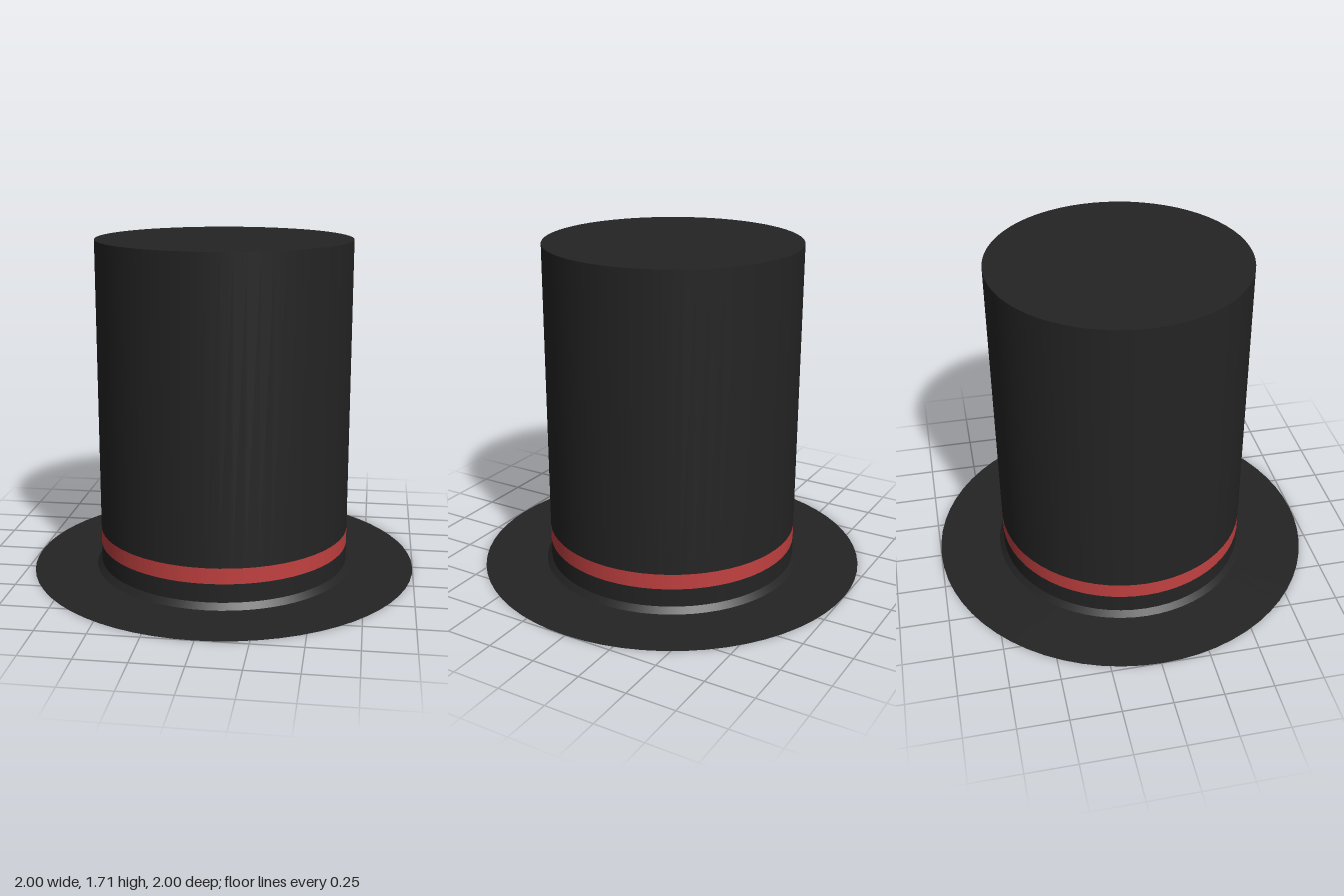
import * as THREE from 'three';

const SEGMENTS = 64;
const HEIGHT = 1.71;
const CROWN_RADIUS = 0.65;
const FLARE_RADIUS = 0.675;
const LEAN = -0.006; // slight backward lean of the crown top

export function createModel() {
  const hat = new THREE.Group();
  hat.name = 'topHat';

  const felt = new THREE.MeshStandardMaterial({ color: 0x242424, side: THREE.DoubleSide });
  felt.name = 'black felt';
  const ribbon = new THREE.MeshStandardMaterial({ color: 0xc24040, side: THREE.DoubleSide });
  ribbon.name = 'red ribbon';

  function add(name, geometry, material) {
    const mesh = new THREE.Mesh(geometry, material);
    mesh.name = name;
    hat.add(mesh);
  }

  // Open wall section between two heights, sheared to follow the lean
  function wall(name, y0, y1, r0, r1, material) {
    const geometry = new THREE.CylinderGeometry(r1, r0, y1 - y0, SEGMENTS, 1, true);
    geometry.translate(0, (y0 + y1) / 2, 0);
    const p = geometry.attributes.position;
    for (let i = 0; i < p.count; i++) p.setZ(i, p.getZ(i) + LEAN * p.getY(i) / HEIGHT);
    add(name, geometry, material);
  }

  // Thin flat brim, open in the middle
  add('brim', new THREE.RingGeometry(FLARE_RADIUS, 1, SEGMENTS).rotateX(-Math.PI / 2), felt);

  // Crown wall with its flared foot and ribbon
  wall('crownFlare', 0, 0.03, FLARE_RADIUS, CROWN_RADIUS, felt);
  wall('lowerCrown', 0.03, 0.125, CROWN_RADIUS, CROWN_RADIUS, felt);
  wall('hatBand', 0.125, 0.205, CROWN_RADIUS, CROWN_RADIUS, ribbon);
  wall('upperCrown', 0.205, HEIGHT, CROWN_RADIUS, CROWN_RADIUS, felt);

  // Flat lid
  const lid = new THREE.CircleGeometry(CROWN_RADIUS, SEGMENTS).rotateX(-Math.PI / 2);
  add('crownTop', lid.translate(0, HEIGHT, LEAN), felt);

  return hat;
}
